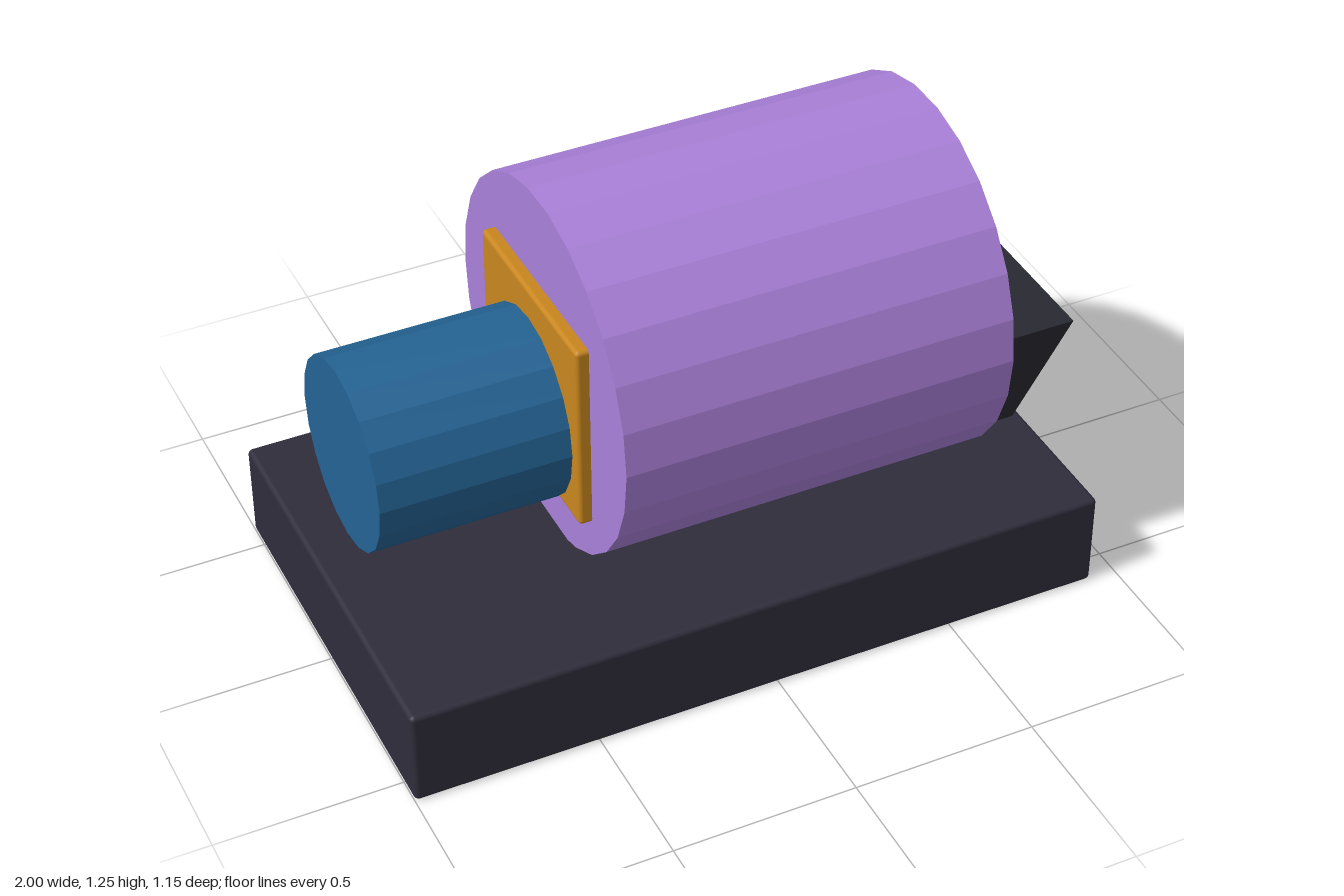
import * as THREE from 'three';
import { RoundedBoxGeometry } from 'three/addons/geometries/RoundedBoxGeometry.js';

const material = (name, color, flatShading = false) => {
  const m = new THREE.MeshStandardMaterial({ color, flatShading });
  m.name = name;
  return m;
};

export function createModel() {
  const group = new THREE.Group();
  const charcoal = material('charcoal', 0x2f2d3b);
  const darkGrey = material('darkGrey', 0x282831, true);
  const violet = material('violet', 0xaa80d9, true);
  const blue = material('blue', 0x246394, true);
  const amber = material('amber', 0xc8861e);

  const add = (name, geometry, mat, x, y, z = 0) => {
    const mesh = new THREE.Mesh(geometry, mat);
    mesh.name = name;
    mesh.position.set(x, y, z);
    group.add(mesh);
    return mesh;
  };
  // Faceted cylinder lying along x
  const lying = (radius, x0, x1, sides) =>
    new THREE.CylinderGeometry(radius, radius, x1 - x0, sides)
      .rotateZ(Math.PI / 2).translate((x0 + x1) / 2, 0, 0);

  // Slab with softened edges
  add('base', new RoundedBoxGeometry(1.925, 0.275, 1.155, 2, 0.014), charcoal, -0.0375, 0.1375);

  // Main drum and the smaller shaft at its end
  add('drum', lying(0.5, -0.385, 0.685, 26), violet, 0, 0.755);
  add('shaft', lying(0.256, -0.93, -0.37, 20), blue, 0, 0.655);

  // Mounting plate between shaft and drum
  add('mountingPlate', new RoundedBoxGeometry(0.06, 0.54, 0.58, 2, 0.012), amber, -0.39, 0.725);

  // Square support flaring upwards
  const flare = new THREE.CylinderGeometry(0.28 * Math.SQRT2, 0.177 * Math.SQRT2, 0.36, 4)
    .rotateY(Math.PI / 4);
  add('flaredSupport', flare, darkGrey, 0.72, 0.45);

  return group;
}
